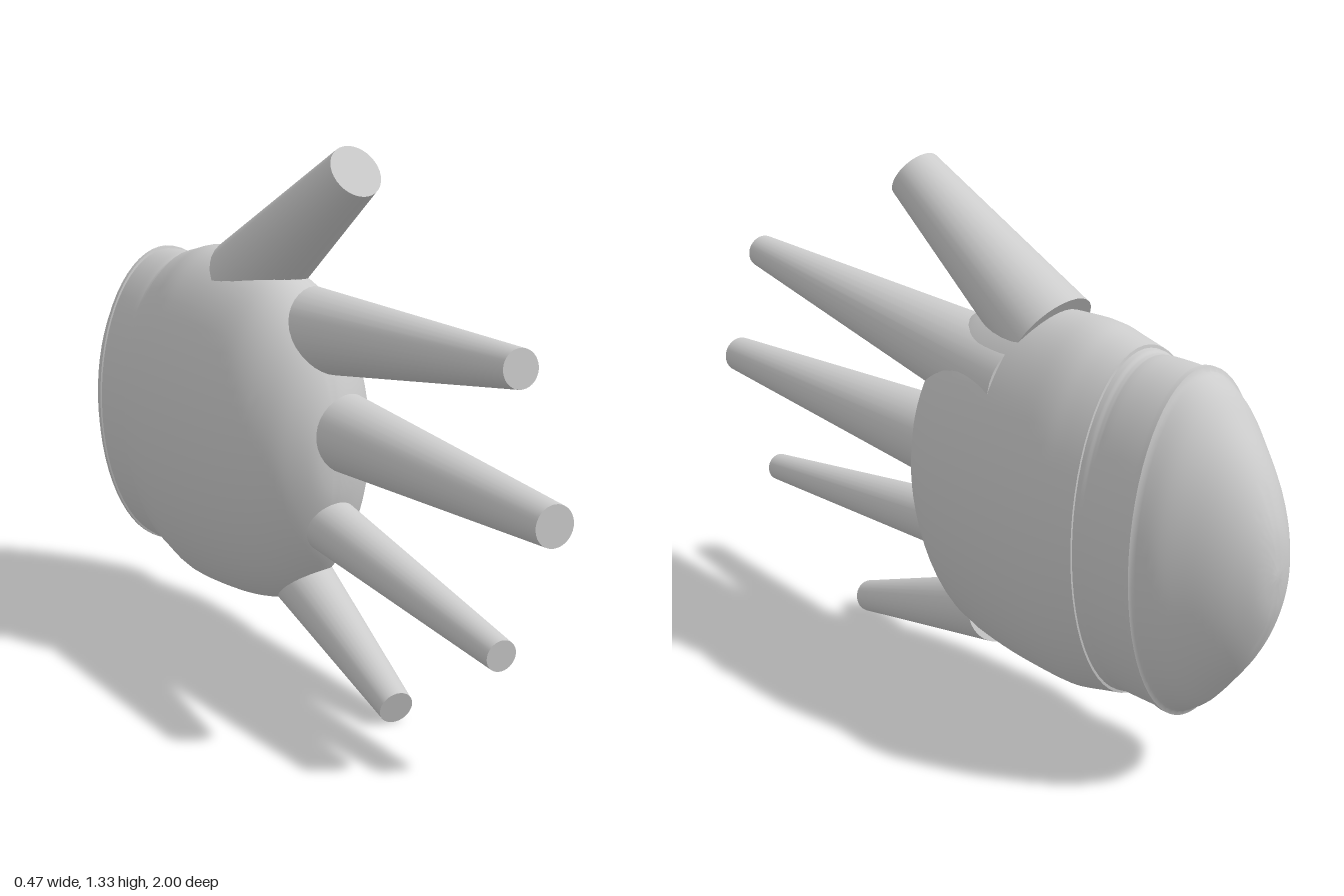
import * as THREE from 'three';
import { toCreasedNormals } from 'three/addons/utils/BufferGeometryUtils.js';

const material = new THREE.MeshStandardMaterial({ color: 0xcccccc, side: THREE.DoubleSide });

// Smooth curve through [radius, z] pairs
function smooth(pairs, count) {
  const curve = new THREE.SplineCurve(pairs.map(([r, z]) => new THREE.Vector2(r, z)));
  const pts = curve.getPoints(count);
  pts.forEach((p) => { p.x = Math.max(p.x, 0); });
  return pts;
}

// Elliptical shell turned about the z axis, profile running from back to front
function shell(name, profile) {
  const geo = new THREE.LatheGeometry(profile, 64);
  geo.rotateX(Math.PI / 2);
  geo.scale(0.235, 0.456, 1);
  geo.translate(0, 0.585, 0);
  const mesh = new THREE.Mesh(toCreasedNormals(geo, 0.6), material);
  mesh.name = name;
  return mesh;
}

// Straight tapered finger with a flat tip
function finger(name, base, baseRadius, tip, tipRadius) {
  const a = new THREE.Vector3(...base);
  const b = new THREE.Vector3(...tip);
  const dir = b.clone().sub(a);
  const mesh = new THREE.Mesh(new THREE.CylinderGeometry(tipRadius, baseRadius, dir.length(), 32), material);
  mesh.position.copy(a).add(b).multiplyScalar(0.5);
  mesh.quaternion.setFromUnitVectors(new THREE.Vector3(0, 1, 0), dir.normalize());
  mesh.name = name;
  return mesh;
}

export function createModel() {
  const group = new THREE.Group();
  group.name = 'gloveHand';

  // Rounded wrist end
  group.add(shell('wristCap', [
    ...smooth([[0, -1], [0.2, -0.988], [0.38, -0.957], [0.54, -0.915], [0.7, -0.858], [0.82, -0.81], [0.89, -0.765]], 24),
    new THREE.Vector2(0.915, -0.76),
    new THREE.Vector2(0.915, -0.748),
    new THREE.Vector2(0.88, -0.742),
  ]));

  // Band between the wrist and the palm
  group.add(shell('cuffBand', smooth([[0.9, -0.75], [0.905, -0.7], [0.905, -0.64], [0.9, -0.615], [0.915, -0.6], [0.92, -0.58]], 16)));

  // Palm
  group.add(shell('palm', [
    new THREE.Vector2(0.89, -0.59),
    ...smooth([[0.935, -0.587], [0.965, -0.53], [0.995, -0.47], [1, -0.4], [0.98, -0.25], [0.93, -0.12],
      [0.84, -0.04], [0.68, 0.03], [0.5, 0.08], [0.25, 0.12], [0, 0.13]], 48),
  ]));

  // Fingers, from the thumb downwards
  group.add(
    finger('thumb', [0, 0.97, -0.29], 0.117, [0.028, 1.28, 0.163], 0.069),
    finger('indexFinger', [0.06, 0.85, -0.28], 0.124, [-0.04, 0.935, 0.9], 0.044),
    finger('middleFinger', [0.05, 0.634, 0], 0.103, [-0.02, 0.617, 1], 0.048),
    finger('ringFinger', [0.022, 0.41, -0.03], 0.076, [-0.052, 0.302, 0.87], 0.037),
    finger('littleFinger', [0.04, 0.235, -0.15], 0.084, [-0.036, 0.045, 0.447], 0.042),
  );
  return group;
}
